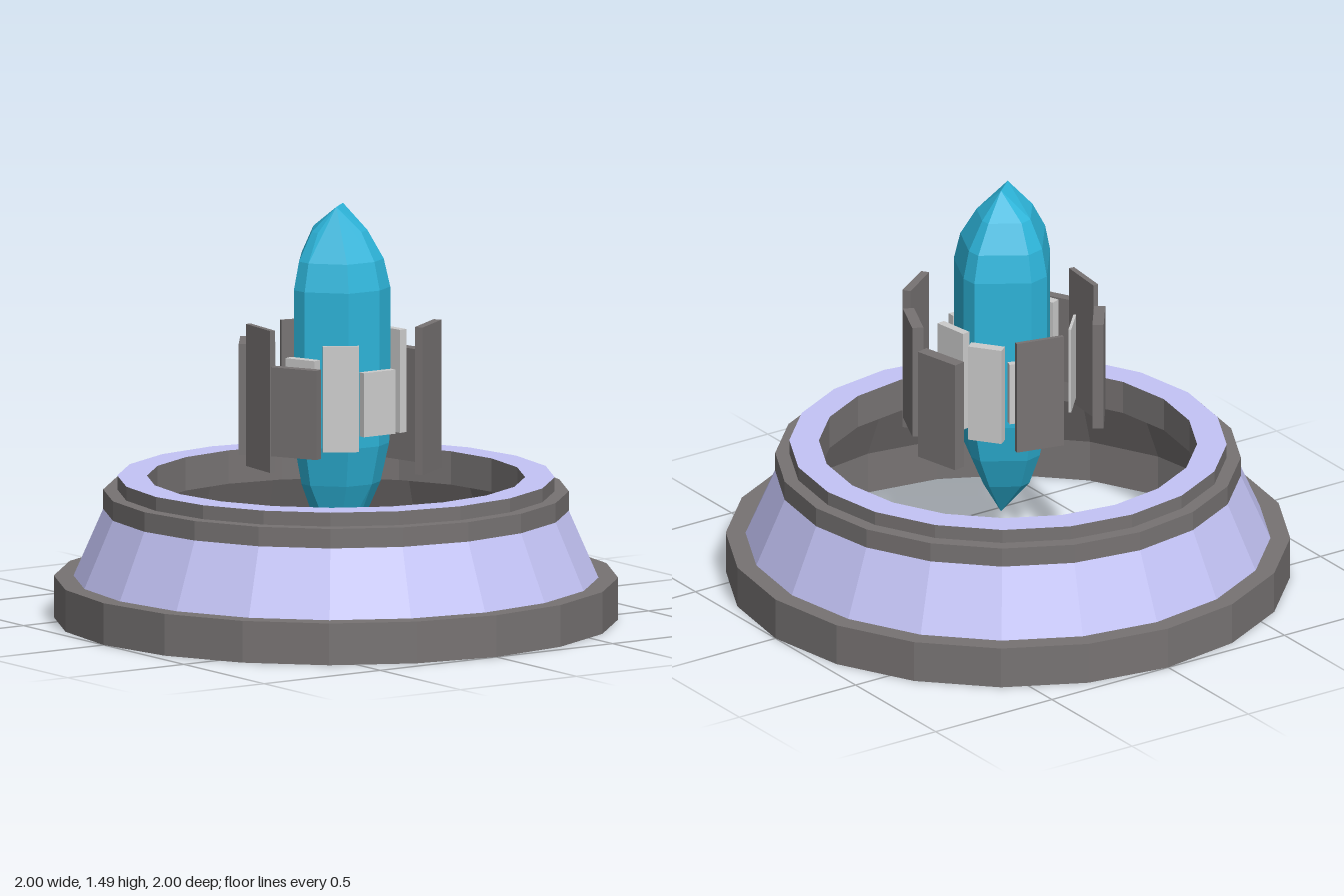
import * as THREE from 'three';
import { ConvexGeometry } from 'three/addons/geometries/ConvexGeometry.js';

const mat = (color) => new THREE.MeshStandardMaterial({ color, flatShading: true });
const dark = mat(0x777373);
const lavender = mat(0xc4c4f6);
const pale = mat(0xcccccc);
const cyan = mat(0x2db4d9);

// One band of the twenty-sided base, turned from [radius, height] points
function band(name, points, material) {
  const profile = points.map(([r, y]) => new THREE.Vector2(r, y));
  const mesh = new THREE.Mesh(new THREE.LatheGeometry(profile, 20), material);
  mesh.name = name;
  return mesh;
}

function createBase() {
  const base = new THREE.Group();
  base.name = 'base';
  base.add(
    band('footRing', [[0.875, 0.15], [0.875, 0], [1, 0], [1, 0.15], [0.93, 0.15]], dark),
    band('slopedSkirt', [[0.93, 0.15], [0.825, 0.39]], lavender),
    band('collar', [[0.825, 0.39], [0.825, 0.46], [0.775, 0.46], [0.775, 0.51]], dark),
    band('topRim', [[0.775, 0.51], [0.67, 0.51]], lavender),
    band('innerWall', [[0.67, 0.51], [0.67, 0.39], [0.77, 0.39], [0.875, 0.15]], dark),
  );
  return base;
}

// Faceted crystal: the hull of one uneven outline scaled at several heights
function createCrystal() {
  const outline = [
    [0.03, -0.19], [0.2, -0.08], [0.205, -0.02], [0.13, 0.15], [0.05, 0.2],
    [-0.08, 0.195], [-0.19, 0.08], [-0.195, 0.02], [-0.05, -0.17],
  ];
  const levels = [[0.38, 0.55], [0.5, 0.82], [0.64, 0.98], [0.75, 1], [1.2, 1], [1.3, 0.88], [1.4, 0.58]];
  const points = [];
  for (const [y, s] of levels) {
    for (const [x, z] of outline) points.push(new THREE.Vector3(x * s, y, z * s));
  }
  // Short ridges close the top and bottom
  for (const y of [0.25, 1.49]) {
    points.push(new THREE.Vector3(-0.04, y, 0.06), new THREE.Vector3(0.03, y, 0));
  }
  const mesh = new THREE.Mesh(new ConvexGeometry(points), cyan);
  mesh.name = 'crystal';
  return mesh;
}

// Upright slabs: x1, z1, x2, z2, thickness, bottom, top
const outerPlates = [
  [-0.02, -0.315, 0.155, -0.275, 0.015, 0.61, 1.03],
  [0.305, -0.14, 0.345, 0.035, 0.045, 0.535, 0.94],
  [0.35, 0.055, 0.28, 0.215, 0.04, 0.6, 1.02],
  [0.125, 0.335, 0.275, 0.235, 0.03, 0.55, 1.08],
  [-0.335, 0.095, -0.25, 0.255, 0.035, 0.63, 0.95],
  [-0.312, -0.095, -0.328, 0.08, 0.02, 0.565, 1.075],
  [-0.315, -0.115, -0.215, -0.25, 0.04, 0.6, 1.0],
];
const innerPlates = [
  [0.005, -0.24, 0.135, -0.2, 0.025, 0.69, 0.92],
  [0.155, -0.195, 0.23, -0.095, 0.04, 0.62, 0.98],
  [0.235, -0.08, 0.255, 0.05, 0.03, 0.65, 1.02],
  [-0.07, 0.262, 0.065, 0.262, 0.028, 0.695, 0.925],
  [-0.185, 0.185, -0.075, 0.252, 0.015, 0.64, 1.02],
  [-0.25, 0.065, -0.205, 0.18, 0.035, 0.68, 0.97],
  [-0.225, -0.09, -0.135, -0.19, 0.01, 0.66, 0.98],
];

function createPlates(name, rows, material) {
  const group = new THREE.Group();
  group.name = name;
  rows.forEach(([x1, z1, x2, z2, t, y0, y1], i) => {
    const length = Math.hypot(x2 - x1, z2 - z1);
    const plate = new THREE.Mesh(new THREE.BoxGeometry(length, y1 - y0, t), material);
    plate.position.set((x1 + x2) / 2, (y0 + y1) / 2, (z1 + z2) / 2);
    plate.rotation.y = -Math.atan2(z2 - z1, x2 - x1);
    plate.name = `${name}${i + 1}`;
    group.add(plate);
  });
  return group;
}

export function createModel() {
  const model = new THREE.Group();
  model.name = 'crystalPedestal';
  model.add(
    createBase(),
    createCrystal(),
    createPlates('outerPlate', outerPlates, dark),
    createPlates('innerPlate', innerPlates, pale),
  );
  return model;
}
